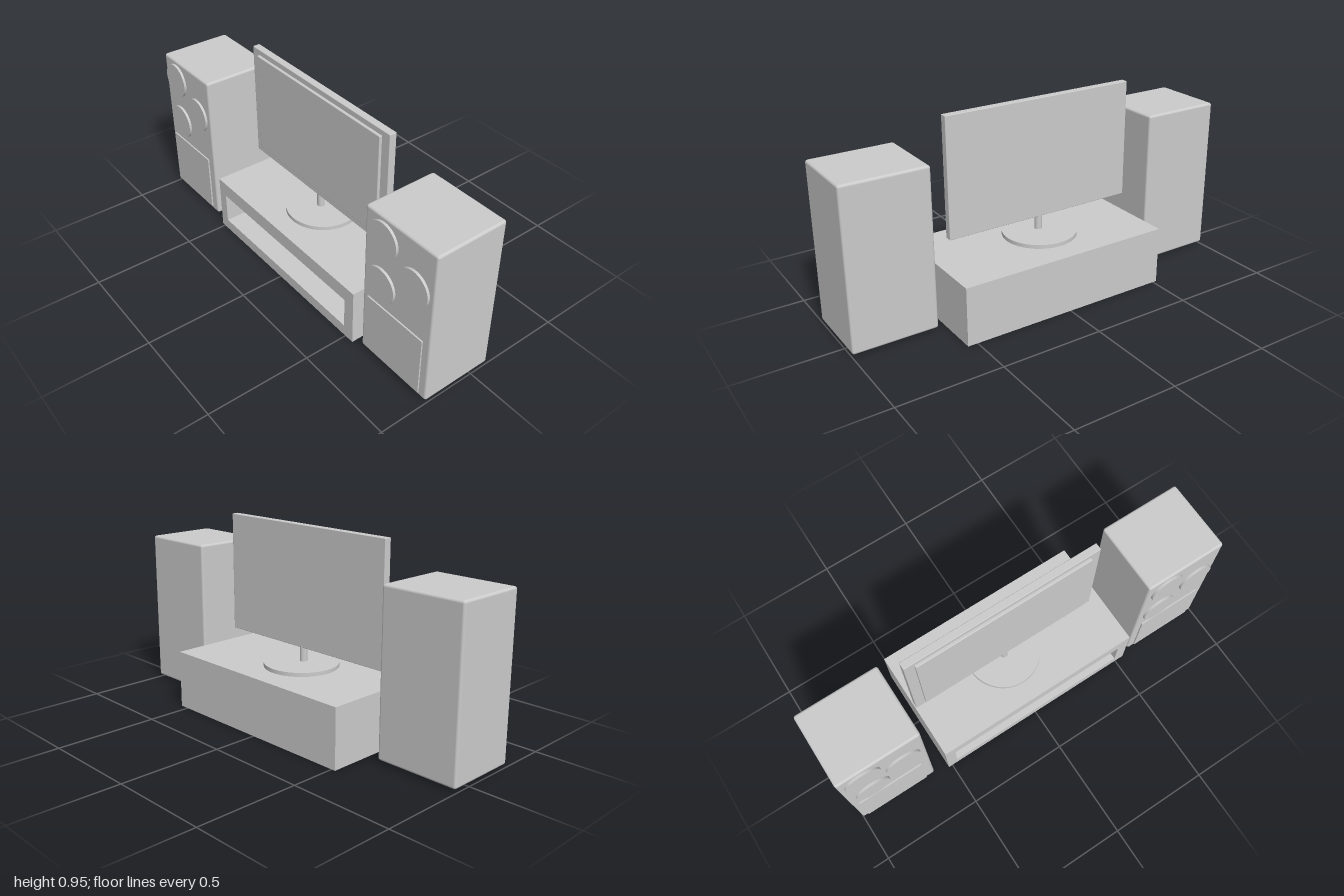
import * as THREE from 'three';
import { RoundedBoxGeometry } from 'three/addons/geometries/RoundedBoxGeometry.js';

const material = new THREE.MeshStandardMaterial({ color: 0xcccccc });

function add(parent, name, geometry, x, y, z) {
  const mesh = new THREE.Mesh(geometry, material);
  mesh.name = name;
  mesh.position.set(x, y, z);
  parent.add(mesh);
  return mesh;
}

// Box given by its limits on each axis; a radius rounds its edges
function box(parent, name, [x0, x1], [y0, y1], [z0, z1], radius = 0) {
  const size = [x1 - x0, y1 - y0, z1 - z0];
  const geometry = radius
    ? new RoundedBoxGeometry(...size, 3, radius)
    : new THREE.BoxGeometry(...size);
  return add(parent, name, geometry, (x0 + x1) / 2, (y0 + y1) / 2, (z0 + z1) / 2);
}

function rectangle(Type, x0, x1, y0, y1) {
  return new Type([[x0, y0], [x1, y0], [x1, y1], [x0, y1]].map(p => new THREE.Vector2(...p)));
}

function createCabinet() {
  const cabinet = new THREE.Group();
  cabinet.name = 'cabinet';
  const back = 0.07;
  // Front frame around the open shelf, with a solid body behind it
  const outline = rectangle(THREE.Shape, -0.52, 0.548, 0, 0.285);
  outline.holes.push(rectangle(THREE.Path, -0.468, 0.489, 0.055, 0.21));
  add(cabinet, 'cabinetShelfFrame',
    new THREE.ExtrudeGeometry(outline, { depth: 0.283 - back, bevelEnabled: false }), 0, 0, back);
  box(cabinet, 'cabinetBody', [-0.52, 0.548], [0, 0.285], [-0.283, back]);
  return cabinet;
}

function createTelevision() {
  const tv = new THREE.Group();
  tv.name = 'television';
  box(tv, 'televisionCase', [-0.52, 0.465], [0.372, 0.954], [0.004, 0.04], 0.003);
  box(tv, 'screen', [-0.471, 0.417], [0.411, 0.927], [0.03, 0.053], 0.004);
  add(tv, 'standBase', new THREE.CylinderGeometry(0.18, 0.18, 0.019, 64), -0.018, 0.2945, 0.009);
  add(tv, 'standPole', new THREE.CylinderGeometry(0.018, 0.018, 0.09, 32), -0.02, 0.338, 0.021);
  return tv;
}

function createSpeaker(name, x0, x1, drivers, grille) {
  const speaker = new THREE.Group();
  speaker.name = name;
  box(speaker, 'speakerCase', [x0, x1], [0.014, 0.79], [-0.095, 0.265], 0.012);
  // Three round drivers standing slightly proud of the front
  const disc = new THREE.CylinderGeometry(0.086, 0.086, 0.018, 48).rotateX(Math.PI / 2);
  for (const [x, y] of drivers) add(speaker, 'driver', disc, x, y, 0.268);
  box(speaker, 'lowerGrille', grille, [0.035, 0.33], [0.255, 0.272]);
  return speaker;
}

export function createModel() {
  const model = new THREE.Group();
  model.name = 'homeTheatre';
  model.add(
    createCabinet(),
    createTelevision(),
    createSpeaker('rightSpeaker', -1, -0.592,
      [[-0.89, 0.683], [-0.706, 0.567], [-0.878, 0.446]], [-0.97, -0.64]),
    createSpeaker('leftSpeaker', 0.59, 1,
      [[0.702, 0.683], [0.888, 0.567], [0.7, 0.446]], [0.625, 0.958]),
  );
  return model;
}
